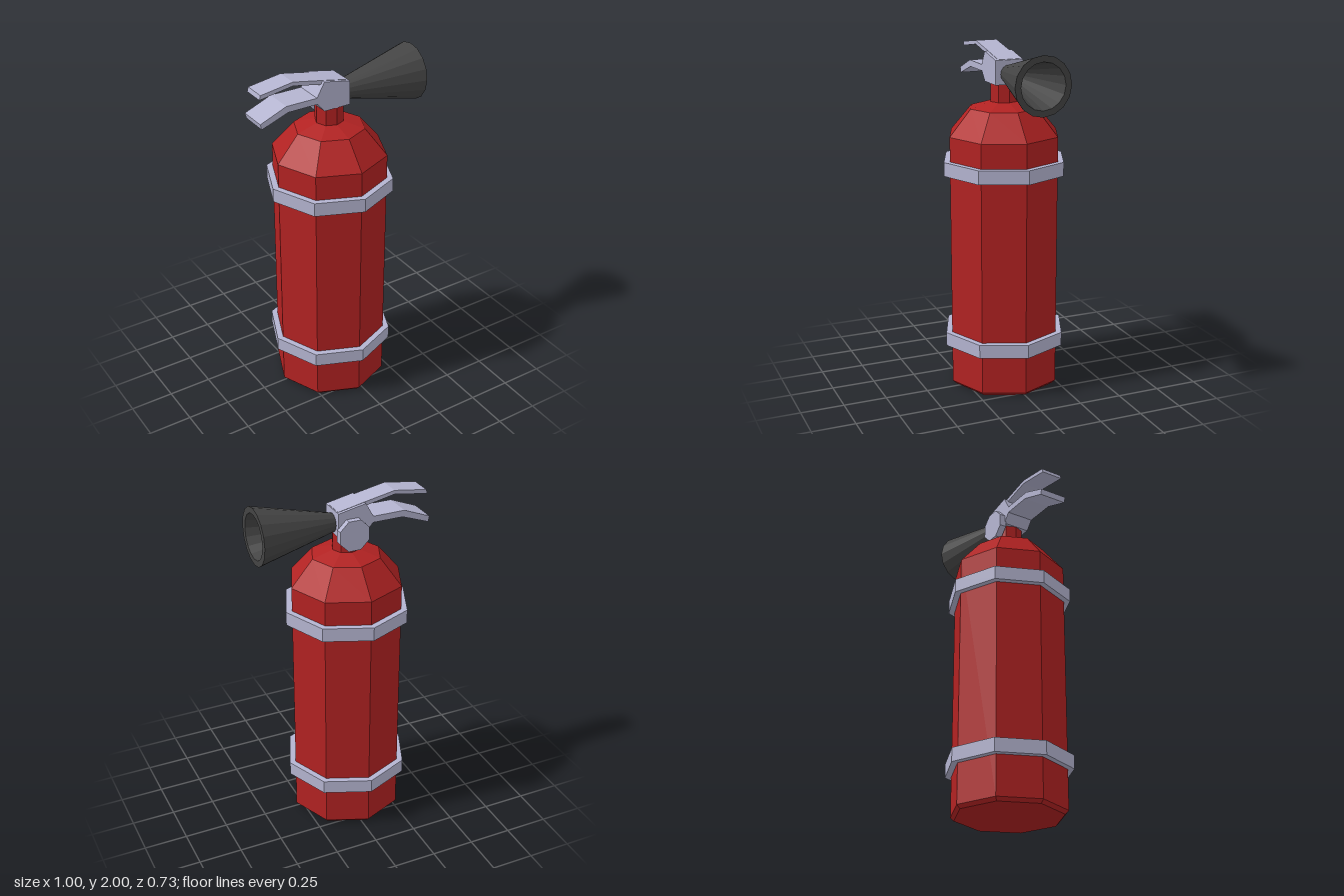
import * as THREE from 'three';

const CX = -0.034; // axis of the bottle

const mat = (color) => new THREE.MeshStandardMaterial({ color, flatShading: true });

function lathe(points, sides) {
  return new THREE.LatheGeometry(points.map(([r, y]) => new THREE.Vector2(r, y)), sides);
}

// Side profile in x/y, extruded symmetrically across z
function slab(points, halfWidth) {
  const shape = new THREE.Shape(points.map(([x, y]) => new THREE.Vector2(x, y)));
  const geo = new THREE.ExtrudeGeometry(shape, { depth: halfWidth * 2, bevelEnabled: false });
  return geo.translate(0, 0, -halfWidth);
}

export function createModel() {
  const group = new THREE.Group();
  const red = mat(0xb22222), metal = mat(0xb4b4d0), black = mat(0x444444);

  const add = (name, geo, material, x = 0, y = 0, z = 0) => {
    const mesh = new THREE.Mesh(geo, material);
    mesh.name = name;
    mesh.position.set(x, y, z);
    group.add(mesh);
    return mesh;
  };

  // Octagonal bottle with chamfered base, sloped shoulder and neck
  add('bottle', lathe([
    [0, 0], [0.307, 0], [0.327, 0.02], [0.327, 1.49], [0.2, 1.64],
    [0.08, 1.675], [0.08, 1.8], [0, 1.8],
  ], 8), red, CX);

  // Two metal straps
  [['lowerBand', 0.25], ['upperBand', 1.27]].forEach(([name, y]) => {
    add(name, lathe([
      [0.32, 0], [0.363, 0], [0.363, 0.08], [0.32, 0.08], [0.32, 0],
    ], 8), metal, CX, y);
  });

  // Valve block in one piece with the fixed lower handle
  add('valveAndHandle', slab([
    [0.047, 1.778], [0.047, 1.915], [-0.114, 1.948], [-0.16, 1.866],
    [-0.347, 1.867], [-0.505, 1.804], [-0.497, 1.772], [-0.337, 1.83],
    [-0.158, 1.83], [-0.114, 1.778],
  ], 0.082), metal);

  // Narrower squeeze lever above, seated in the block
  add('squeezeLever', slab([
    [0.042, 1.89], [0.042, 1.918], [-0.114, 1.95], [-0.294, 1.985],
    [-0.488, 1.957], [-0.495, 1.932], [-0.294, 1.963], [-0.124, 1.928],
  ], 0.064), metal);

  // Octagonal gauge on the back, flat side down
  const gauge = new THREE.CylinderGeometry(0.094, 0.094, 0.04, 8);
  gauge.rotateY(Math.PI / 8).rotateX(Math.PI / 2);
  add('gauge', gauge, metal, CX, 1.788, -0.096);

  // Hollow discharge horn pointing to the side
  const horn = lathe([
    [0, 0], [0.052, 0], [0.163, 0.455], [0.128, 0.455], [0.037, 0.06], [0, 0.06],
  ], 16).rotateZ(-Math.PI / 2);
  add('horn', horn, black, 0.045, 1.837, 0);

  return group;
}
